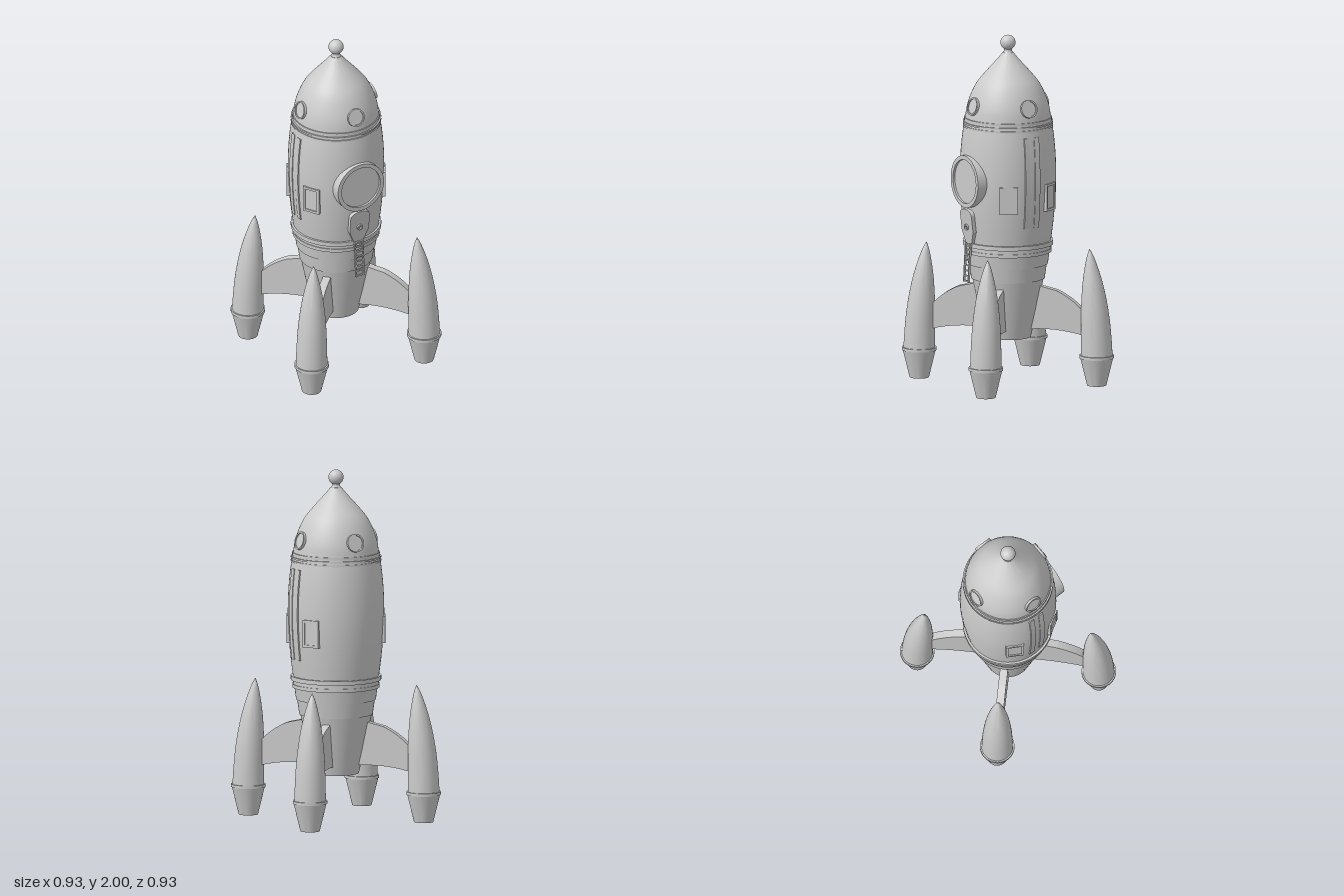
import * as THREE from 'three';
import { toCreasedNormals } from 'three/addons/utils/BufferGeometryUtils.js';

const material = new THREE.MeshStandardMaterial({ color: 0xcccccc, side: THREE.DoubleSide });

function add(parent, name, geometry, x = 0, y = 0, z = 0) {
  const mesh = new THREE.Mesh(geometry, material);
  mesh.name = name;
  mesh.position.set(x, y, z);
  parent.add(mesh);
  return mesh;
}

function group(parent, name) {
  const g = new THREE.Group();
  g.name = name;
  parent.add(g);
  return g;
}

const vecs = (points) => points.map(([x, y]) => new THREE.Vector2(x, y));
const smooth = (points, n = 24) => new THREE.SplineCurve(vecs(points)).getPoints(n);
const lathe = (points, sides = 64) => toCreasedNormals(new THREE.LatheGeometry(points, sides), 0.5);

// Closed ring with a rectangular section, standing on y0..y1
const ring = (inner, outer, y0, y1, sides = 64) =>
  lathe(vecs([[inner, y0], [outer, y0], [outer, y1], [inner, y1], [inner, y0]]), sides);

const extrude = (shape, depth) => new THREE.ExtrudeGeometry(shape, { depth, bevelEnabled: false, curveSegments: 16 });

// Hull radius at a given height, used by the hull and the parts lying on it
const hullCurve = new THREE.SplineCurve(vecs([
  [0.242, 0.8], [0.257, 0.92], [0.268, 1.04], [0.274, 1.17], [0.271, 1.3], [0.262, 1.41], [0.247, 1.52]]));
const hullPoints = hullCurve.getPoints(36);
function hullRadius(y) {
  const i = Math.max(1, hullPoints.findIndex((p) => p.y >= y));
  const a = hullPoints[i - 1], b = hullPoints[i];
  return a.x + (b.x - a.x) * (y - a.y) / (b.y - a.y);
}

// Round window facing +z: raised rim and a recessed pane
function roundWindow(parent, name, inner, outer, depth, recess) {
  const g = group(parent, name);
  add(g, name + 'Rim', ring(inner, outer, -depth, 0, 48).rotateX(Math.PI / 2));
  add(g, name + 'Pane', new THREE.CircleGeometry(inner, 48), 0, 0, -recess);
  return g;
}

function buildBody(model) {
  const body = group(model, 'body');
  add(body, 'hull', lathe(hullPoints));

  // Tail cone with stepped plates and a hollow exhaust
  add(body, 'tailCone', lathe(vecs([
    [0, 0.36], [0.085, 0.36], [0.095, 0.26], [0.13, 0.26], [0.162, 0.4], [0.195, 0.56], [0.203, 0.6],
    [0.209, 0.6], [0.221, 0.685], [0.227, 0.685], [0.238, 0.77]])));

  // Belt and neck rings
  for (const [inner, outer, y0, y1] of [
    [0.22, 0.248, 0.755, 0.775], [0.22, 0.243, 0.775, 0.8], [0.22, 0.257, 0.797, 0.822],
    [0.23, 0.257, 1.478, 1.488], [0.23, 0.257, 1.498, 1.508], [0.22, 0.249, 1.515, 1.53]])
    add(body, 'hullRing', ring(inner, outer, y0, y1));

  // Nose cone, its neck and the ball on top
  add(body, 'noseCone', lathe([
    ...smooth([[0.243, 1.53], [0.234, 1.59], [0.211, 1.66], [0.175, 1.73], [0.117, 1.8], [0.063, 1.86], [0.03, 1.9]]),
    new THREE.Vector2(0, 1.905)]));
  add(body, 'noseNeck', lathe(smooth([[0.032, 1.895], [0.023, 1.91], [0.025, 1.935]], 8), 32));
  add(body, 'noseBall', new THREE.SphereGeometry(0.043, 32, 20), 0, 1.957, 0);

  // Four portholes around the nose
  for (let i = 0; i < 4; i++) {
    const turn = group(body, 'portholeMount');
    turn.rotation.y = i * Math.PI / 2;
    const porthole = roundWindow(turn, 'porthole', 0.043, 0.052, 0.035, 0.006);
    porthole.position.set(0, 1.61, 0.238);
    porthole.rotation.x = -0.27;
  }
}

function buildSides(model) {
  // Framed rectangular windows, two on each side
  const frame = new THREE.Shape(vecs([[-0.052, -0.078], [0.052, -0.078], [0.052, 0.078], [-0.052, 0.078]]));
  frame.holes.push(new THREE.Path(vecs([[-0.038, -0.064], [-0.038, 0.064], [0.038, 0.064], [0.038, -0.064]])));
  for (const degrees of [60, 120, -60, -120]) {
    const g = group(model, 'sideWindow');
    g.rotation.y = THREE.MathUtils.degToRad(degrees);
    add(g, 'sideWindowFrame', extrude(frame, 0.035), 0, 1.09, 0.246);
    add(g, 'sideWindowPane', new THREE.PlaneGeometry(0.08, 0.132), 0, 1.09, 0.2745);
  }

  // Pairs of long strips following the hull on both sides
  for (const side of [0, Math.PI])
    for (const z of [-0.032, 0.032]) {
      const geo = new THREE.BoxGeometry(0.02, 0.52, 0.032, 1, 20, 1).translate(0, 1.185, 0);
      const p = geo.attributes.position;
      for (let i = 0; i < p.count; i++) p.setX(i, p.getX(i) + hullRadius(p.getY(i)) - 0.007);
      geo.computeVertexNormals();
      add(model, 'sideStrip', toCreasedNormals(geo, 0.5), 0, 0, z).rotation.y = side;
    }
}

function buildEntrance(model) {
  // Large front window
  roundWindow(model, 'frontWindow', 0.126, 0.15, 0.06, 0.013).position.set(0, 1.18, 0.289);

  // Tapered hatch plate with a round knob
  const hatch = group(model, 'hatch');
  hatch.position.set(0, 0.82, 0.238);
  hatch.rotation.x = 0.12;
  const plate = new THREE.Shape();
  plate.moveTo(-0.03, 0);
  plate.lineTo(0.03, 0);
  plate.lineTo(0.062, 0.075);
  plate.lineTo(0.062, 0.17);
  plate.quadraticCurveTo(0.058, 0.203, 0, 0.205);
  plate.quadraticCurveTo(-0.058, 0.203, -0.062, 0.17);
  plate.lineTo(-0.062, 0.075);
  add(hatch, 'hatchPlate', extrude(plate, 0.022));
  add(hatch, 'hatchKnob', ring(0.009, 0.018, 0, 0.012, 24).rotateX(Math.PI / 2), 0, 0.1, 0.02);

  // Ladder hanging from the hatch, leaning outwards at the foot
  const ladder = group(model, 'ladder');
  ladder.position.set(0, 0.71, 0.269);
  ladder.rotation.x = -0.06;
  for (const x of [-0.025, 0.025])
    add(ladder, 'ladderRail', new THREE.BoxGeometry(0.007, 0.225, 0.012), x, 0, 0);
  for (let i = 0; i < 8; i++)
    add(ladder, 'ladderRung', new THREE.BoxGeometry(0.05, 0.008, 0.01), 0, -0.105 + i * 0.03, 0);
}

function buildLegs(model) {
  // Arched fin, drawn as radius against height
  const fin = new THREE.Shape();
  fin.moveTo(0.12, 0.312);
  fin.lineTo(0.145, 0.312);
  fin.quadraticCurveTo(0.3, 0.325, 0.45, 0.285);
  fin.lineTo(0.45, 0.42);
  fin.quadraticCurveTo(0.38, 0.5, 0.285, 0.54);
  fin.lineTo(0.19, 0.562);
  fin.lineTo(0.16, 0.562);
  const finGeo = extrude(fin, 0.045).translate(0, 0, -0.0225);

  // Pod body, its tip leaning towards the hull
  const podGeo = new THREE.LatheGeometry(smooth([
    [0.09, 0.17], [0.087, 0.27], [0.082, 0.38], [0.073, 0.48], [0.059, 0.58], [0.041, 0.665], [0.02, 0.74], [0.0005, 0.785]]), 40);
  const p = podGeo.attributes.position;
  for (let i = 0; i < p.count; i++) {
    const t = Math.max(0, (p.getY(i) - 0.17) / 0.615);
    p.setX(i, p.getX(i) - 0.042 * Math.pow(t, 1.5));
  }
  podGeo.computeVertexNormals();
  const pod = toCreasedNormals(podGeo, 0.5);

  const collar = ring(0.07, 0.098, 0.158, 0.175, 40);
  const nozzle = lathe(vecs([[0, 0.04], [0.03, 0.04], [0.034, 0], [0.055, 0], [0.094, 0.16], [0.07, 0.165]]), 40);

  for (let i = 0; i < 4; i++) {
    const leg = group(model, 'leg');
    leg.rotation.y = Math.PI / 4 + i * Math.PI / 2;
    add(leg, 'fin', finGeo);
    add(leg, 'pod', pod, 0.519);
    add(leg, 'podCollar', collar, 0.519);
    add(leg, 'podNozzle', nozzle, 0.519);
  }
}

export function createModel() {
  const model = new THREE.Group();
  model.name = 'rocket';
  buildBody(model);
  buildSides(model);
  buildEntrance(model);
  buildLegs(model);
  return model;
}
